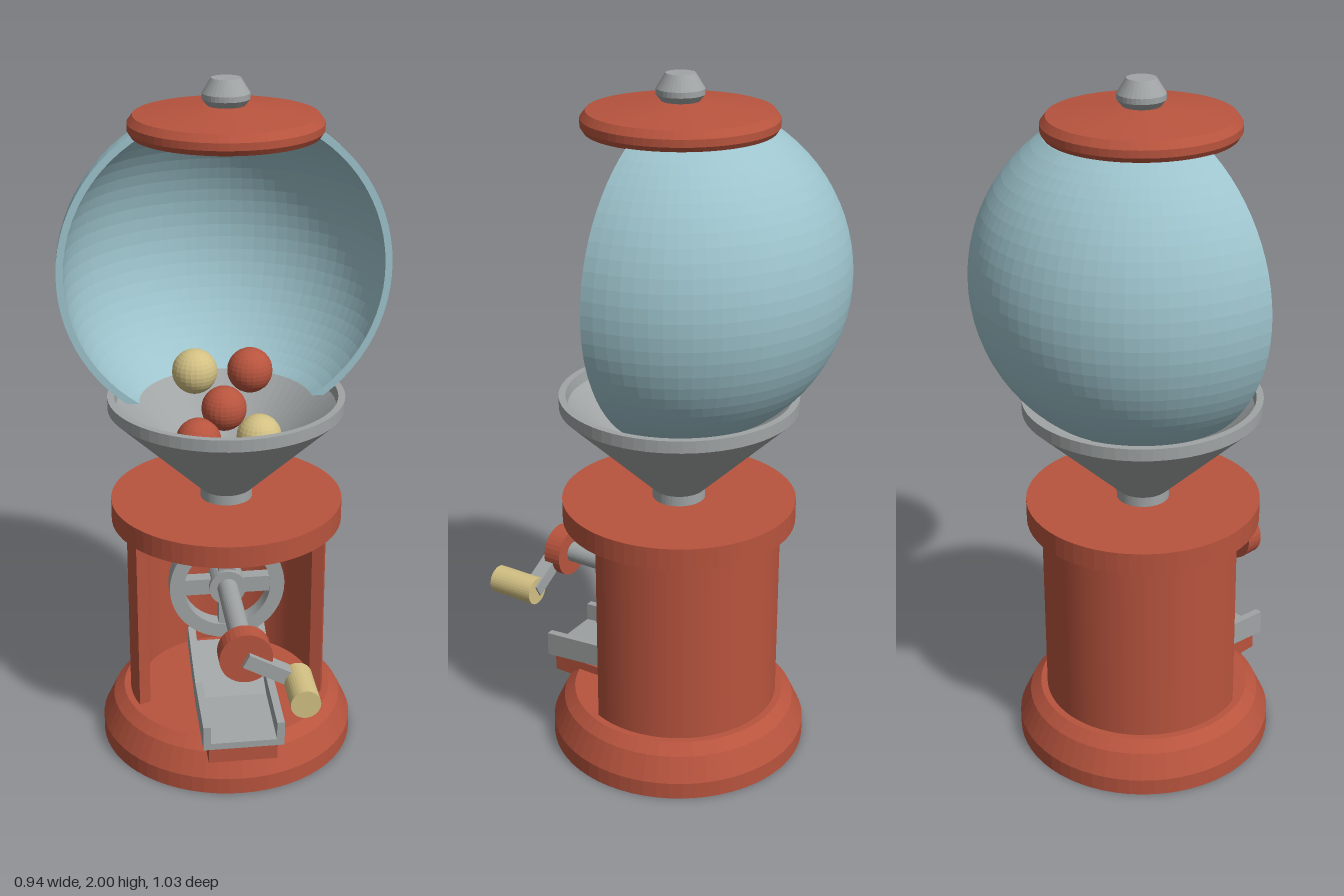
import * as THREE from 'three';

const AXIS = -0.045; // z of the machine's vertical axis
const paint = (name, color) => {
  const m = new THREE.MeshStandardMaterial({ color });
  m.name = name;
  return m;
};

export function createModel() {
  const red = paint('red enamel', 0xb8543e);
  const steel = paint('steel', 0xa0a4a4);
  const glass = paint('pale blue glass', 0x9dc3cc);
  const cream = paint('cream', 0xd2c083);
  const model = new THREE.Group();
  model.name = 'candyDispenser';

  // Faceted mesh
  const add = (name, geometry, material, x = 0, y = 0, z = 0) => {
    const g = geometry.index ? geometry.toNonIndexed() : geometry;
    g.computeVertexNormals();
    const mesh = new THREE.Mesh(g, material);
    mesh.name = name;
    mesh.position.set(x, y, z);
    model.add(mesh);
    return mesh;
  };
  const lathe = (pts, start = 0, length = Math.PI * 2, segments = 64) =>
    new THREE.LatheGeometry(pts.map(([r, y]) => new THREE.Vector2(r, y)), segments, start, length);
  const rod = (r, length) => new THREE.CylinderGeometry(r, r, length, 32).rotateX(Math.PI / 2);
  const polygon = (pts) => new THREE.Shape(pts.map(([x, y]) => new THREE.Vector2(x, y)));
  const extrude = (shape, depth) =>
    new THREE.ExtrudeGeometry(shape, { depth, bevelEnabled: false, curveSegments: 48 });

  // Base and deck
  add('base', lathe([[0, 0], [0.38, 0], [0.38, 0.05], [0.347, 0.12], [0.315, 0.148], [0, 0.148]]), red, 0, 0, AXIS);
  add('deck', lathe([[0, 0.72], [0.338, 0.72], [0.338, 0.785], [0, 0.785]]), red, 0, 0, AXIS);

  // Housing wall, open at the front
  const gap = 1.207;
  const from = -Math.PI / 2 + gap, to = Math.PI * 1.5 - gap;
  const wall = new THREE.Shape();
  wall.absarc(0, 0, 0.295, from, to, false);
  wall.absarc(0, 0, 0.26, to, from, true);
  add('housing', extrude(wall, 0.58).rotateX(-Math.PI / 2), red, 0, 0.145, AXIS);

  // Hopper with its neck running through the deck
  add('hopper', lathe([
    [0.055, 0.64], [0.076, 0.64], [0.076, 0.815], [0.34, 1.07], [0.34, 1.105],
    [0.32, 1.105], [0.315, 1.075], [0.055, 0.825], [0.055, 0.64],
  ]), steel, 0, 0, AXIS);

  // Half globe with flat cut edges
  const centre = 1.46, outer = 0.47, inner = 0.45;
  const arc = (r) => {
    const a0 = Math.asin((1.085 - centre) / r), a1 = Math.asin((1.852 - centre) / r);
    return Array.from({ length: 25 }, (_, i) => {
      const a = a0 + ((a1 - a0) * i) / 24;
      return [r * Math.cos(a), centre + r * Math.sin(a)];
    });
  };
  const section = [...arc(outer), ...arc(inner).reverse()];
  add('globe', lathe([...section, section[0]], Math.PI / 2, Math.PI, 40), glass, 0, 0, AXIS);
  for (const s of [-1, 1]) {
    add('globeCutEdge', new THREE.ShapeGeometry(polygon(section.map(([x, y]) => [s * x, y]))), glass, 0, 0, AXIS);
  }

  // Lid and finial
  add('lid', lathe([[0, 1.85], [0.255, 1.85], [0.265, 1.865], [0.265, 1.885], [0.25, 1.905], [0.06, 1.928], [0, 1.928]]),
    red, 0, 0, AXIS);
  add('finial', lathe([[0, 1.92], [0.045, 1.92], [0.065, 1.945], [0.065, 1.96], [0.04, 2], [0, 2]], 0, Math.PI * 2, 32),
    steel, 0, 0, AXIS);

  // Candy balls
  const balls = [
    [-0.08, 1.14, -0.14, cream], [0.08, 1.14, -0.13, red], [0, 1.038, -0.095, red],
    [-0.08, 0.96, -0.05, red], [0.1, 0.955, -0.07, cream],
  ];
  for (const [x, y, z, m] of balls) add('candyBall', new THREE.SphereGeometry(0.066, 24, 16), m, x, y, z);

  // Dispensing wheel
  const wheelY = 0.49;
  const rim = new THREE.Shape().absarc(0, 0, 0.173, 0, Math.PI * 2, false);
  rim.holes.push(new THREE.Path().absarc(0, 0, 0.13, 0, Math.PI * 2, true));
  add('wheelRim', extrude(rim, 0.05), steel, 0, wheelY, AXIS - 0.025);
  add('wheelSpokes', new THREE.BoxGeometry(0.05, 0.28, 0.04), steel, 0, wheelY, AXIS);
  add('wheelSpokes', new THREE.BoxGeometry(0.28, 0.05, 0.04), steel, 0, wheelY, AXIS);
  add('wheelHub', rod(0.055, 0.07), steel, 0, wheelY, AXIS);

  // Shaft, knob and crank
  add('shaft', rod(0.031, 0.41), steel, 0, wheelY, 0.15);
  add('knob', rod(0.075, 0.055), red, 0, wheelY, 0.367);
  const arm = add('crankArm', new THREE.BoxGeometry(0.17, 0.042, 0.045), steel, 0.073, 0.45, 0.388);
  arm.rotation.z = Math.atan2(-0.08, 0.147);
  add('crankHandle', rod(0.042, 0.148), cream, 0.147, 0.41, 0.445);

  // Chute: floor and two side walls, profiles given as (z, y)
  const alongX = (pts, width) =>
    extrude(polygon(pts), width).rotateY(-Math.PI / 2).translate(width / 2, 0, 0);
  const bottom = [[-0.05, 0.272], [0.06, 0.228], [0.15, 0.195], [0.36, 0.175]];
  const top = [[0.36, 0.25], [0.15, 0.267], [0.06, 0.298], [-0.05, 0.342]];
  const floorTop = bottom.map(([z, y]) => [z, y + 0.02]).reverse();
  add('chuteFloor', alongX([...bottom, ...floorTop], 0.2), steel);
  for (const s of [-1, 1]) add('chuteSide', alongX([...bottom, ...top], 0.022), steel, s * 0.106, 0, 0);
  add('chuteSupport', new THREE.BoxGeometry(0.2, 0.055, 0.26), red, 0, 0.147, 0.213);

  return model;
}
